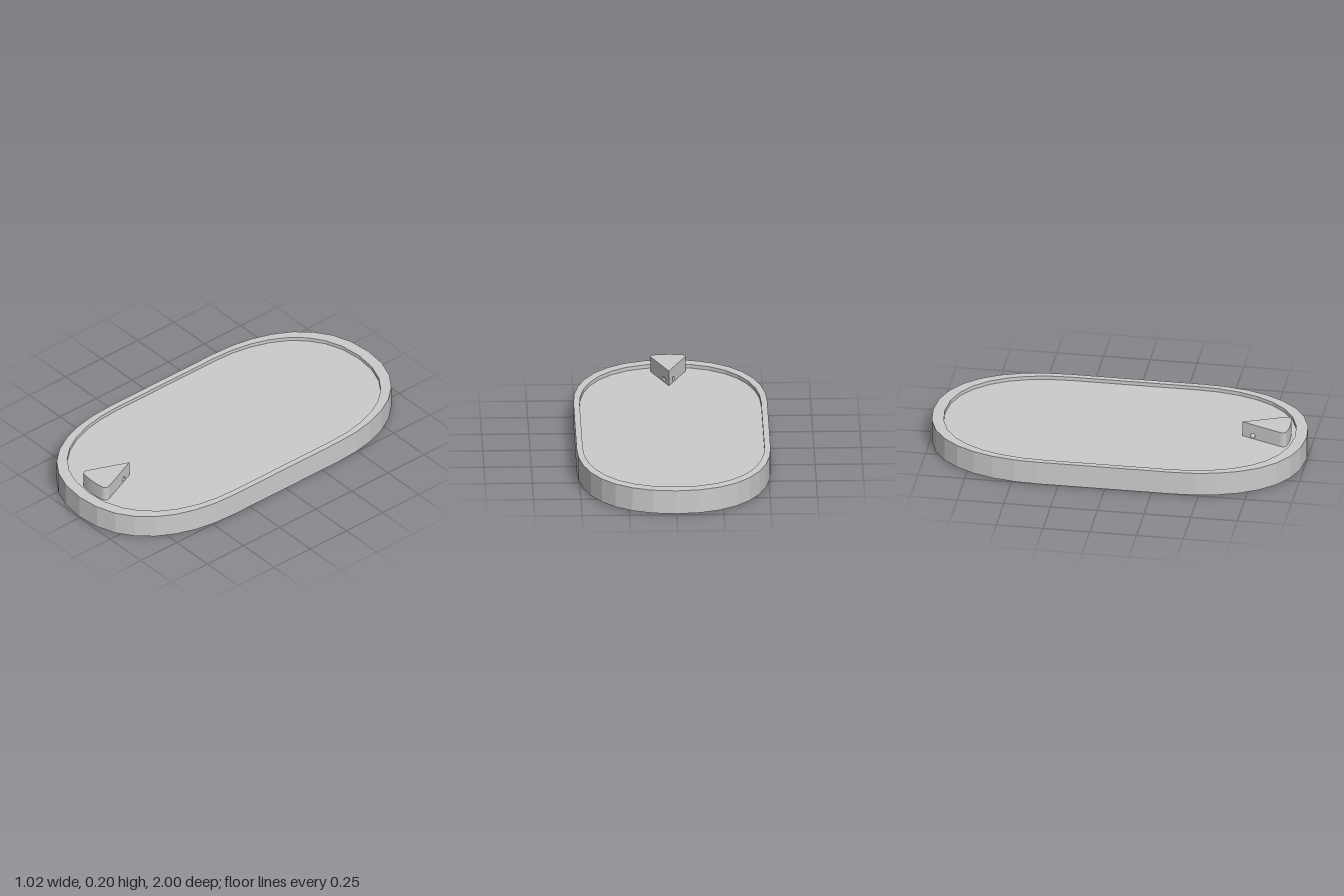
import * as THREE from 'three';

const HOLE_R = 0.013;
const grey = new THREE.MeshStandardMaterial({ color: 0xcccccc });
const coloured = (color) => new THREE.MeshStandardMaterial({ color });

// Stadium-like outline with full, softly rounded ends
function trace(path, k) {
  const W = 0.512 * k, S = 0.36 * k, C = 0.7 * k, D = 0.36 * k, L = k;
  path.moveTo(W, -S);
  path.lineTo(W, S);
  path.bezierCurveTo(W, C, D, L, 0, L);
  path.bezierCurveTo(-D, L, -W, C, -W, S);
  path.lineTo(-W, -S);
  path.bezierCurveTo(-W, -C, -D, -L, 0, -L);
  path.bezierCurveTo(D, -L, W, -C, W, -S);
  return path;
}

// Extrude a plan shape upward from y0 to y1 (shape y becomes -z)
function slab(shape, y0, y1, curveSegments = 8) {
  const g = new THREE.ExtrudeGeometry(shape, { depth: y1 - y0, bevelEnabled: false, curveSegments });
  g.rotateX(-Math.PI / 2);
  g.translate(0, y0, 0);
  return g;
}

export function createModel() {
  const group = new THREE.Group();
  const add = (name, geometry, material, parent = group) => {
    const mesh = new THREE.Mesh(geometry, material);
    mesh.name = name;
    parent.add(mesh);
    return mesh;
  };

  // Case: outer wall with raised rim, and the recessed top floor
  const wall = trace(new THREE.Shape(), 1);
  wall.holes.push(trace(new THREE.Path(), 0.937));
  add('rim', slab(wall, 0.008, 0.137), grey);
  add('floor', slab(trace(new THREE.Shape(), 0.937), 0.01, 0.117), grey);

  // Pointer: wedge pierced sideways by a small hole, with a rounded heel
  const pointer = new THREE.Group();
  pointer.name = 'pointer';
  group.add(pointer);
  const tipZ = 0.655, heelZ = 0.87, halfW = 0.09, y0 = 0.11, y1 = 0.2;
  const side = new THREE.Shape();
  side.moveTo(tipZ, y0);
  side.lineTo(heelZ, y0);
  side.lineTo(heelZ, y1);
  side.lineTo(tipZ, y1);
  side.closePath();
  side.holes.push(new THREE.Path().absarc(0.715, 0.134, HOLE_R, 0, Math.PI * 2, true));
  const wedge = new THREE.ExtrudeGeometry(side, { depth: 2, bevelEnabled: false, curveSegments: 8 });
  wedge.rotateY(-Math.PI / 2);
  wedge.translate(1, 0, 0);
  const p = wedge.attributes.position;
  for (let i = 0; i < p.count; i++) {
    // taper the width down to nothing at the tip
    p.setX(i, p.getX(i) * halfW * (p.getZ(i) - tipZ) / (heelZ - tipZ));
  }
  wedge.computeVertexNormals();
  add('pointerWedge', wedge, grey, pointer);

  const heel = new THREE.Shape();
  heel.moveTo(halfW, -heelZ);
  heel.lineTo(-halfW, -heelZ);
  heel.quadraticCurveTo(-0.1, -0.9, -0.07, -0.906);
  heel.quadraticCurveTo(0, -0.918, 0.07, -0.906);
  heel.quadraticCurveTo(0.1, -0.9, halfW, -heelZ);
  add('pointerHeel', slab(heel, y0, y1, 6), grey, pointer);

  // Underside: dark plate, solar panel, cell dividers and screws
  add('basePlate', slab(trace(new THREE.Shape(), 0.932), 0.005, 0.02), coloured(0x222222));

  const panelW = 0.7, panelL = 1.45, cells = 6;
  const panel = new THREE.BoxGeometry(panelW, 0.006, panelL);
  add('solarPanel', panel, coloured(0x141c44)).position.y = 0.006;

  const lineMat = coloured(0x777777);
  for (let i = 1; i < cells; i++) {
    const line = add('cellDivider', new THREE.BoxGeometry(panelW, 0.004, 0.005), lineMat);
    line.position.set(0, 0.004, (i / cells - 0.5) * panelL);
  }

  const screwMat = coloured(0x555555);
  for (const sx of [-1, 1]) {
    for (const sz of [-1, 1]) {
      const screw = add('screw', new THREE.CylinderGeometry(0.03, 0.03, 0.008, 20), screwMat);
      screw.position.set(sx * 0.205, 0.006, sz * 0.825);
    }
  }
  return group;
}
